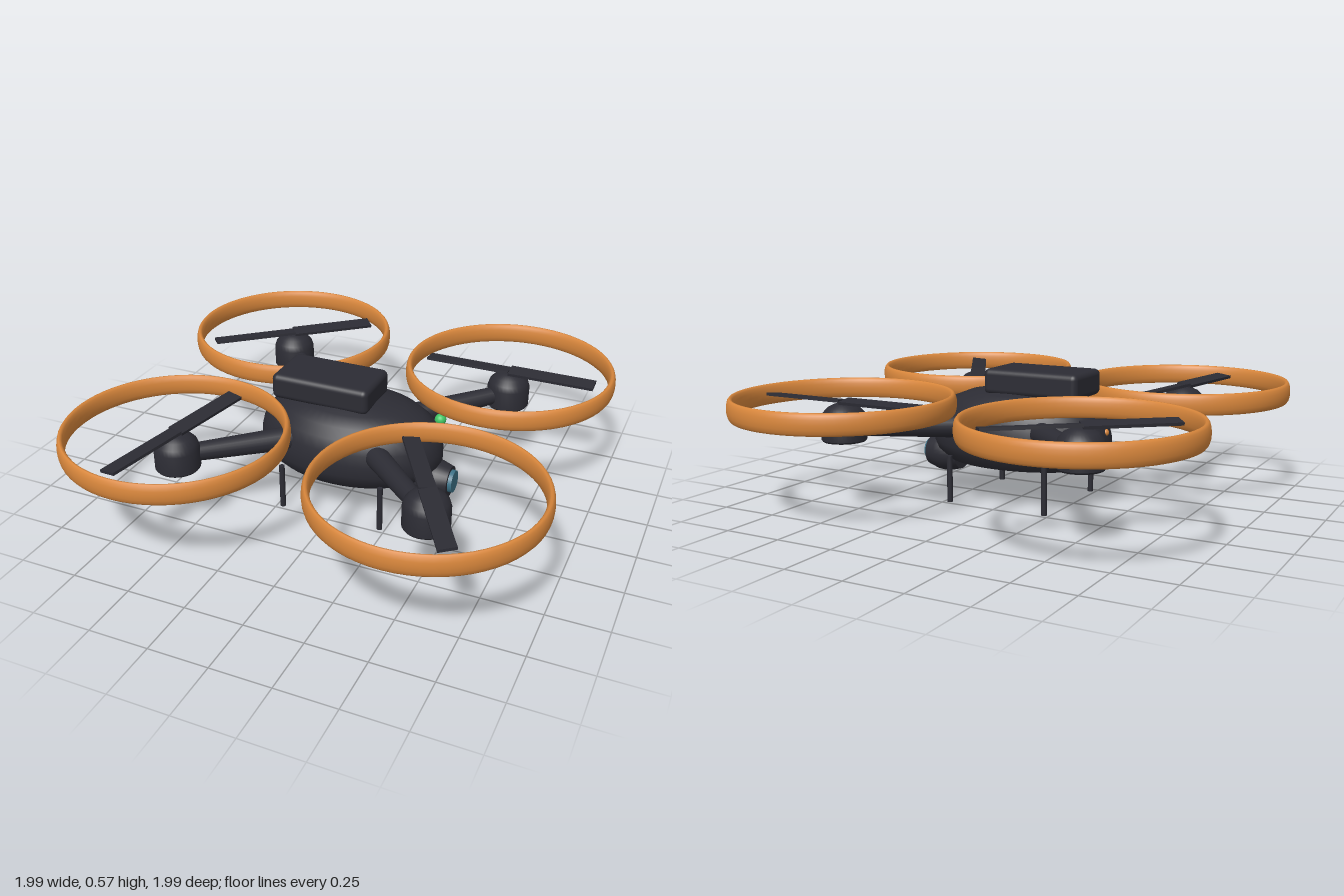
import * as THREE from 'three';
import { RoundedBoxGeometry } from 'three/addons/geometries/RoundedBoxGeometry.js';
import { toCreasedNormals } from 'three/addons/utils/BufferGeometryUtils.js';

const material = (name, color) => {
  const m = new THREE.MeshStandardMaterial({ color });
  m.name = name;
  return m;
};

export function createModel() {
  const charcoal = material('charcoal', 0x2c2c34);
  const orange = material('orange', 0xd9873c);
  const lensBlue = material('lens blue', 0x3c7186);
  const green = material('signal green', 0x3fc463);

  const model = new THREE.Group();
  model.name = 'quadcopter';

  const add = (parent, name, geometry, mat, x = 0, y = 0, z = 0) => {
    const mesh = new THREE.Mesh(geometry, mat);
    mesh.name = name;
    mesh.position.set(x, y, z);
    parent.add(mesh);
    return mesh;
  };

  // Solid of revolution from [radius, height] pairs, bottom to top
  const lathe = (points, segments = 40) => toCreasedNormals(
    new THREE.LatheGeometry(points.map(([r, y]) => new THREE.Vector2(r, y)), segments), 0.6);

  // Oval body: flat belly, chamfered edge, low domed top
  const hull = lathe([
    [0, 0.165], [0.83, 0.165], [0.96, 0.205], [1, 0.24], [1, 0.29], [0.97, 0.34],
    [0.9, 0.39], [0.77, 0.43], [0.58, 0.46], [0.3, 0.478], [0, 0.483],
  ], 48);
  hull.scale(0.407, 1, 0.267);
  add(model, 'body', toCreasedNormals(hull, 0.6), charcoal);

  // Battery on top, set towards the tail
  add(model, 'battery', new RoundedBoxGeometry(0.435, 0.11, 0.25, 4, 0.025), charcoal, -0.098, 0.512, 0);

  // Nose camera, turned along +x, with its lens
  const camera = lathe([
    [0, -0.075], [0.07, -0.075], [0.08, -0.04], [0.085, 0], [0.082, 0.03], [0.066, 0.08], [0, 0.08],
  ], 32);
  add(model, 'camera', camera, charcoal, 0.375, 0.162, 0).rotation.z = -Math.PI / 2;
  add(model, 'cameraLens', new THREE.CylinderGeometry(0.048, 0.05, 0.03, 28), lensBlue, 0.457, 0.165, 0)
    .rotation.z = -Math.PI / 2;

  // Signal lights
  add(model, 'sideLight', new THREE.SphereGeometry(0.025, 16, 12), green, 0.345, 0.355, -0.16);
  add(model, 'tailLight', new THREE.SphereGeometry(0.016, 16, 12), orange, -0.392, 0.32, 0);

  // Geometry shared by the four corners
  const reach = 0.535;
  const motorGeo = lathe([
    [0, 0.293], [0.088, 0.293], [0.093, 0.3], [0.093, 0.385], [0.085, 0.41],
    [0.065, 0.432], [0.035, 0.446], [0, 0.45],
  ], 32);
  const guardGeo = new THREE.TorusGeometry(0.446, 0.016, 14, 64).rotateX(Math.PI / 2).scale(1, 2.8, 1);
  const bladeGeo = new THREE.BoxGeometry(0.378, 0.012, 0.07).translate(0.189, 0, 0);
  const legGeo = new THREE.CylinderGeometry(0.012, 0.012, 0.2, 12);

  const corners = [
    ['backLeft', 1, -1, 0],
    ['backRight', -1, -1, 40],
    ['frontRight', -1, 1, 80],
    ['frontLeft', 1, 1, 120],
  ];
  for (const [label, sx, sz, turn] of corners) {
    const corner = new THREE.Group();
    corner.name = `${label}Rotor`;
    model.add(corner);

    // Tapered arm from the body to the motor
    const from = new THREE.Vector3(sx * 0.19, 0.327, sz * 0.19);
    const to = new THREE.Vector3(sx * reach, 0.35, sz * reach);
    const along = to.clone().sub(from);
    const arm = add(corner, 'arm', new THREE.CylinderGeometry(0.036, 0.05, along.length(), 20), charcoal);
    arm.position.copy(from).add(to).multiplyScalar(0.5);
    arm.quaternion.setFromUnitVectors(new THREE.Vector3(0, 1, 0), along.normalize());

    add(corner, 'motor', motorGeo, charcoal, sx * reach, 0, sz * reach);
    add(corner, 'guardRing', guardGeo, orange, sx * reach, 0.443, sz * reach);

    // Two blades with opposite pitch
    const propeller = new THREE.Group();
    propeller.name = 'propeller';
    propeller.position.set(sx * reach, 0.456, sz * reach);
    propeller.rotation.y = THREE.MathUtils.degToRad(turn);
    corner.add(propeller);
    for (const side of [0, 1]) {
      const blade = add(propeller, 'blade', bladeGeo, charcoal);
      blade.rotation.set(0.12, side * Math.PI, 0, 'YXZ');
    }

    // Landing leg
    add(model, `${label}Leg`, legGeo, charcoal, sx * 0.225, 0.1, sz * 0.225);
  }
  return model;
}
